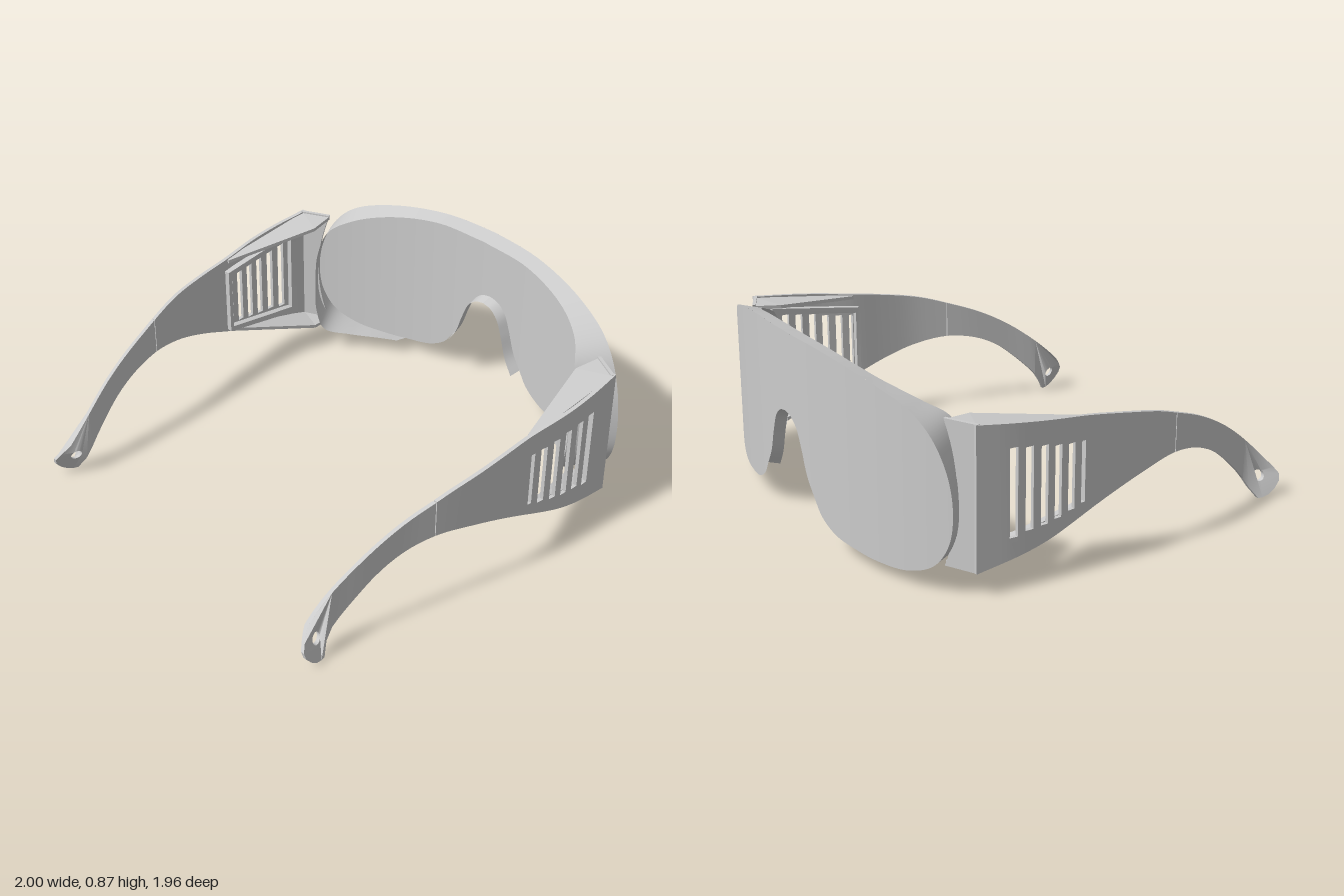
import * as THREE from 'three';
import { mergeGeometries, toCreasedNormals } from 'three/addons/utils/BufferGeometryUtils.js';

const V = (x, y, z = 0) => new THREE.Vector3(x, y, z);
const curve = pts => new THREE.CatmullRomCurve3(pts.map(p => V(...p)));

// Interpolates y over x along a list of points sorted by x
const lookup = pts => x => {
  let i = 1;
  while (i < pts.length - 1 && pts[i].x < x) i++;
  const a = pts[i - 1], b = pts[i];
  const t = THREE.MathUtils.clamp((x - a.x) / (b.x - a.x || 1), 0, 1);
  return a.y + (b.y - a.y) * t;
};
const smooth = pts => lookup(curve(pts).getPoints(100));

// Smooth ribbon between two point lists
function ribbon(a, b) {
  const pos = [], idx = [];
  a.forEach((p, i) => pos.push(p.x, p.y, p.z, b[i].x, b[i].y, b[i].z));
  for (let i = 0; i < a.length - 1; i++) {
    const k = i * 2;
    idx.push(k, k + 2, k + 1, k + 1, k + 2, k + 3);
  }
  const g = new THREE.BufferGeometry();
  g.setAttribute('position', new THREE.Float32BufferAttribute(pos, 3));
  g.setIndex(idx);
  g.computeVertexNormals();
  return g;
}

// Plan curve of the lens, and temple curves over z
const lensZ = x => -0.98 + 2.2 - Math.sqrt(4.84 - x * x);
const templeX = smooth([[-0.67, 0.985], [-0.5, 0.998], [-0.35, 0.997], [-0.15, 0.975], [0, 0.968],
  [0.15, 0.955], [0.3, 0.925], [0.45, 0.89], [0.65, 0.85], [0.85, 0.81], [1, 0.805]]);
const templeTop = smooth([[-0.67, 0.707], [-0.3, 0.66], [0, 0.615], [0.2, 0.575], [0.34, 0.53],
  [0.5, 0.47], [0.65, 0.39], [0.8, 0.28], [0.92, 0.17], [0.98, 0.1]]);
const templeBottom = smooth([[-0.67, 0.1], [-0.4, 0.155], [-0.2, 0.215], [0, 0.29], [0.15, 0.335],
  [0.3, 0.36], [0.4, 0.355], [0.5, 0.33], [0.6, 0.28], [0.7, 0.2], [0.8, 0.1], [0.87, 0]]);

// Sheet drawn in (z, y) and bent onto the temple's plan curve
function panel(points, hole, thick = 0.018, inset = 0) {
  const shape = new THREE.Shape(points.map(([z, y]) => new THREE.Vector2(-z, y)));
  if (hole) shape.holes.push(new THREE.Path(hole.map(([z, y]) => new THREE.Vector2(-z, y))));
  const g = new THREE.ExtrudeGeometry(shape, { depth: thick, bevelEnabled: false });
  g.rotateY(Math.PI / 2);
  const p = g.attributes.position;
  for (let i = 0; i < p.count; i++) {
    const z = p.getZ(i), y = p.getY(i);
    const bend = Math.max(0, (z - y) * 0.7 - 0.53) * 0.5; // tip curls outward
    p.setX(i, p.getX(i) + templeX(z) - thick - inset + bend);
  }
  return g;
}

const slots = [[-0.174, 0.28, 0.54, 0.01], [-0.235, 0.265, 0.545, 0.017], [-0.303, 0.25, 0.555, 0.017],
  [-0.37, 0.24, 0.57, 0.017], [-0.44, 0.235, 0.58, 0.018], [-0.51, 0.22, 0.59, 0.018]];

// Upright slices from z0 to z1, leaving the vent slots open
function templeSlices(z0, z1) {
  const zs = [];
  const n = Math.round((z1 - z0) / 0.035);
  for (let i = 0; i <= n; i++) zs.push(z0 + (z1 - z0) * i / n);
  const keep = zs.filter(z => z === z0 || z === z1 || !slots.some(s => Math.abs(z - s[0]) < s[3] + 0.005));
  slots.forEach(([c, , , w]) => { if (c > z0 && c < z1) keep.push(c - w, c + w); });
  keep.sort((a, b) => a - b);
  const parts = [];
  for (let i = 0; i < keep.length - 1; i++) {
    const a = keep[i], b = keep[i + 1], m = (a + b) / 2;
    const lo = templeBottom, hi = templeTop;
    const slot = slots.find(s => Math.abs(m - s[0]) < s[3]);
    if (slot) {
      parts.push(panel([[a, lo(a)], [b, lo(b)], [b, slot[1]], [a, slot[1]]]));
      parts.push(panel([[a, slot[2]], [b, slot[2]], [b, hi(b)], [a, hi(a)]]));
    } else parts.push(panel([[a, lo(a)], [b, lo(b)], [b, hi(b)], [a, hi(a)]]));
  }
  return parts;
}
const creased = parts => toCreasedNormals(mergeGeometries(parts), 0.5);

export function createModel() {
  const grey = new THREE.MeshStandardMaterial({ color: 0xcccccc, side: THREE.DoubleSide });
  grey.name = 'light grey';
  const root = new THREE.Group();
  root.name = 'safetyGlasses';

  // Half outline of the lens, from top centre round the side to the nose
  const outline = [[0, 0.865], [0.3, 0.853], [0.6, 0.8], [0.78, 0.735], [0.87, 0.655], [0.935, 0.53],
    [0.962, 0.38], [0.945, 0.23], [0.88, 0.125], [0.76, 0.07], [0.6, 0.06], [0.5, 0.068],
    [0.36, 0.09], [0.27, 0.14], [0.22, 0.205]];
  const edge = curve(outline).getPoints(140);
  edge.forEach(p => { p.z = lensZ(p.x); });
  const nose = curve([[0, 0.515], [0.05, 0.503], [0.095, 0.465], [0.13, 0.39], [0.17, 0.28], [0.22, 0.205]]).getPoints(30);
  nose.forEach(p => { p.z = lensZ(p.x); });

  const top = edge.slice(0, 61);
  const low = edge.slice(60).reverse();
  const lowY = lookup([...nose, ...low.slice(1)]);
  const highY = lookup(top);
  const xs = [...top, ...nose, ...low].map(p => p.x).sort((a, b) => a - b)
    .filter((x, i, all) => i === 0 || x - all[i - 1] > 1e-4);
  const lens = ribbon(xs.map(x => V(x, highY(x), lensZ(x))), xs.map(x => V(x, lowY(x), lensZ(x))));

  // Rim flaring back and inward from the lens edge
  const rimBack = curve([[0, 0.845, -0.905], [0.28, 0.835, -0.89], [0.54, 0.785, -0.825], [0.7, 0.73, -0.735],
    [0.78, 0.67, -0.65], [0.815, 0.54, -0.61], [0.82, 0.38, -0.6], [0.815, 0.23, -0.6],
    [0.78, 0.125, -0.62], [0.7, 0.085, -0.72], [0.58, 0.08, -0.81], [0.5, 0.08, -0.86]]).getPoints(110);
  const rim = ribbon(rimBack, edge.slice(0, 111));

  // Nose flange
  const noseRim = ribbon(nose, nose.map(p => V(p.x * 0.95, p.y - 0.014, p.z + 0.05)));

  // Rounded temple tip with a cord hole
  const tipOutline = [];
  for (let z = 0.8; z < 0.97; z += 0.02) tipOutline.push([z, templeTop(z)]);
  tipOutline.push([0.98, 0.095], [0.975, 0.065], [0.95, 0.035], [0.92, 0.012], [0.89, 0.002], [0.87, 0], [0.835, 0.05], [0.8, 0.1]);
  const hole = [];
  for (let i = 0; i < 20; i++) {
    const a = i / 20 * Math.PI * 2;
    hole.push([0.888 + 0.025 * Math.cos(a), 0.095 + 0.025 * Math.sin(a)]);
  }

  // Raised frame inside the vents
  const ventFrame = panel([[-0.59, 0.17], [-0.14, 0.25], [-0.14, 0.58], [-0.59, 0.64]],
    [[-0.555, 0.205], [-0.16, 0.27], [-0.16, 0.555], [-0.555, 0.605]], 0.03, 0.015);

  // Tapered walls joining rim and temple above and below the vents
  const shelf = (yAt) => {
    const s = new THREE.Shape([[0.975, -0.66], [0.85, -0.725], [0.825, -0.6], [0.95, -0.16], [0.97, -0.16]]
      .map(([x, z]) => new THREE.Vector2(x, -z)));
    const g = new THREE.ExtrudeGeometry(s, { depth: 0.016, bevelEnabled: false });
    g.rotateX(-Math.PI / 2);
    const p = g.attributes.position;
    for (let i = 0; i < p.count; i++) p.setY(i, p.getY(i) + yAt(p.getZ(i)));
    g.computeVertexNormals();
    return g;
  };

  // Slanted wall closing the front of the temple, cut to the rim's curve
  const wall = new THREE.Shape();
  wall.moveTo(0, 0.1);
  wall.lineTo(0.148, 0.1);
  wall.quadraticCurveTo(0.03, 0.4, 0.148, 0.707);
  wall.lineTo(0, 0.707);
  const endWall = new THREE.ExtrudeGeometry(wall, { depth: 0.015, bevelEnabled: false, curveSegments: 20 });
  endWall.rotateY(Math.atan2(0.46, -0.888));
  endWall.translate(0.977, 0, -0.65);

  const half = new THREE.Group();
  const add = (name, geometry) => {
    const m = new THREE.Mesh(geometry, grey);
    m.name = name;
    half.add(m);
  };
  add('lens', lens);
  add('rim', rim);
  add('noseFlange', noseRim);
  add('templeFront', creased(templeSlices(-0.67, 0.33)));
  add('templeRear', creased([...templeSlices(0.334, 0.8), panel(tipOutline, hole)]));
  add('ventFrame', toCreasedNormals(ventFrame, 0.5));
  add('upperWall', shelf(z => templeTop(z) - 0.022));
  add('lowerWall', shelf(z => templeBottom(z) + 0.004));
  add('endWall', endWall);

  half.name = 'leftHalf';
  const mirrored = half.clone();
  mirrored.name = 'rightHalf';
  mirrored.scale.x = -1;
  root.add(half, mirrored);
  return root;
}
